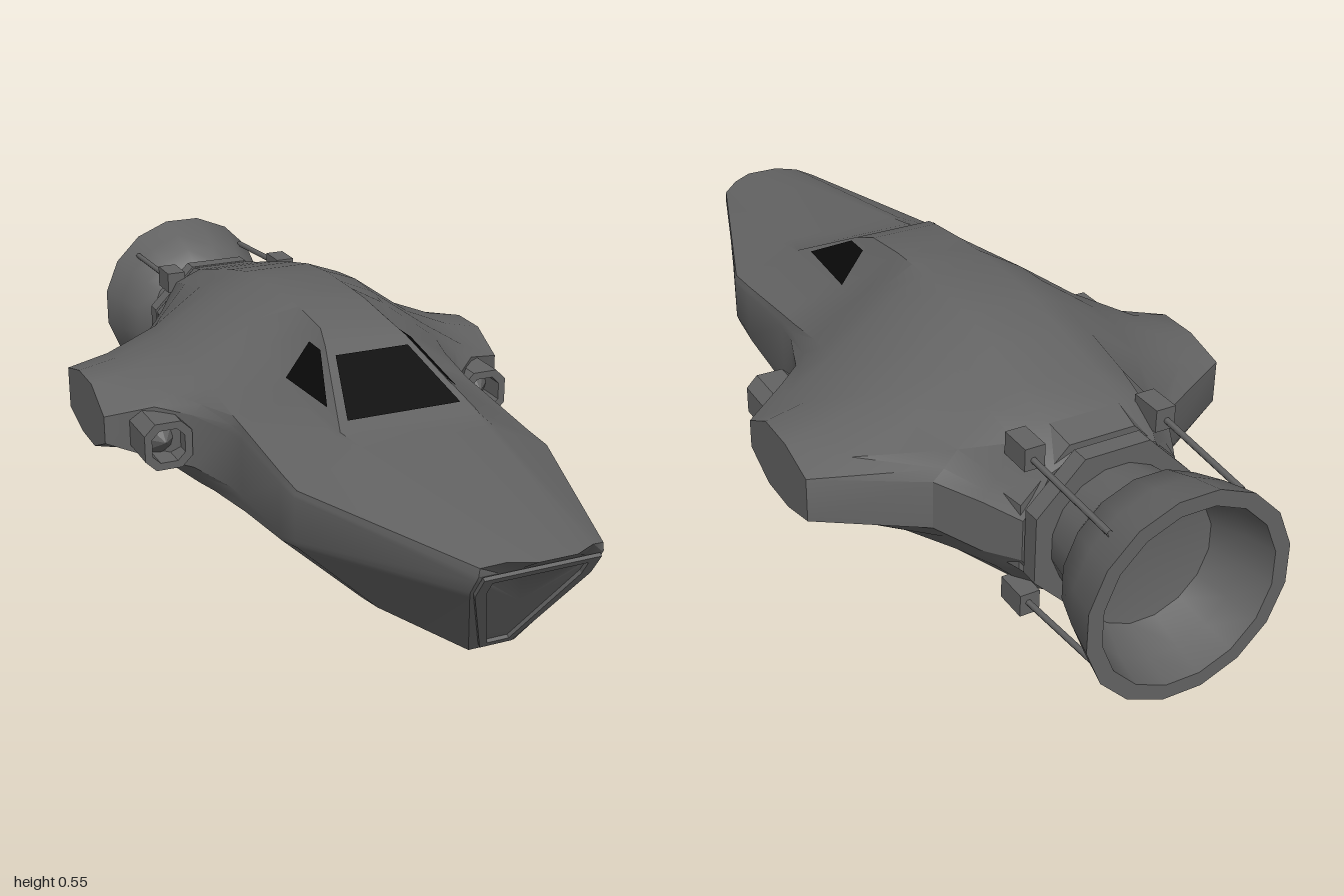
import * as THREE from 'three';
import { toCreasedNormals } from 'three/addons/utils/BufferGeometryUtils.js';

const CY = 0.26; // height of the engine axis

const hullGrey = new THREE.MeshStandardMaterial({ color: 0x636363, side: THREE.DoubleSide });
hullGrey.name = 'hull grey';
const glassBlack = new THREE.MeshStandardMaterial({ color: 0x0a0a0a, side: THREE.DoubleSide });
glassBlack.name = 'glass black';

// Hull stations: z, top edge x y, shoulder x y, flank x upper-y lower-y, wing x upper-y lower-y, keel y
const STATIONS = [
  [0.49, 0.14, 0.40, 0.16, 0.395, 0.285, 0.335, 0.21, 0.29, 0.32, 0.225, 0.035],
  [0.41, 0.155, 0.407, 0.165, 0.40, 0.285, 0.34, 0.19, 0.29, 0.32, 0.21, 0.02],
  [0.2, 0.095, 0.515, 0.165, 0.415, 0.285, 0.36, 0.165, 0.29, 0.33, 0.2, 0.008],
  [0.14, 0.08, 0.535, 0.165, 0.42, 0.285, 0.365, 0.155, 0.295, 0.33, 0.2, 0.003],
  [0.02, 0.08, 0.548, 0.16, 0.47, 0.29, 0.385, 0.14, 0.335, 0.33, 0.205, 0],
  [-0.05, 0.08, 0.55, 0.16, 0.505, 0.3, 0.4, 0.133, 0.4, 0.335, 0.21, 0],
  [-0.11, 0.08, 0.55, 0.16, 0.515, 0.3, 0.415, 0.13, 0.5, 0.305, 0.24, 0],
  [-0.2, 0.08, 0.55, 0.16, 0.52, 0.3, 0.42, 0.13, 0.5, 0.352, 0.2, 0],
  [-0.3, 0.08, 0.54, 0.16, 0.51, 0.3, 0.415, 0.13, 0.5, 0.352, 0.2, 0],
  [-0.4, 0.08, 0.517, 0.16, 0.485, 0.28, 0.4, 0.13, 0.5, 0.325, 0.225, 0.003],
  [-0.52, 0.085, 0.485, 0.16, 0.455, 0.225, 0.38, 0.14, 0.28, 0.32, 0.21, 0.035],
  [-0.62, 0.085, 0.457, 0.15, 0.43, 0.19, 0.36, 0.15, 0.225, 0.315, 0.2, 0.065],
];

// Half ring from top to keel
function halfRing([z, tx, ty, sx, sy, px, pu, pl, wx, wu, wl, yb]) {
  const qx = px + (wx - px) * 0.55, sag = (wx - px) * 0.05;
  return [[tx, ty], [sx, sy], [px, pu], [qx, pu + (wu - pu) * 0.55 - sag], [wx, wu],
    [wx, wl], [qx, pl + (wl - pl) * 0.55 + sag], [px, pl], [0.105, yb]].map(([x, y]) => [x, y, z]);
}

function hullGeometry() {
  const noseSide = [[0.13, 0.33, 0.948], [0.13, 0.315, 0.939], [0.13, 0.3, 0.929],
    [0.13, 0.285, 0.92], [0.125, 0.27, 0.91], [0.05, 0.075, 0.78]];
  const noseFace = [[0.04, 0.33, 0.948], [0.09, 0.33, 0.948], [0.126, 0.33, 0.948], ...noseSide];
  const noseLip = [[0.04, 0.365, 1], [0.09, 0.362, 0.972], [0.128, 0.347, 0.948], ...noseSide];
  const rings = [noseFace, noseLip, ...STATIONS.map(halfRing)];
  // Tail closes in toward the engine collar
  rings.push(rings[rings.length - 1].map(([x, y]) => [x * 0.8, CY + (y - CY) * 0.8, -0.7]));
  const full = rings.map((r) => [...r, ...r.map(([x, y, z]) => [-x, y, z]).reverse()]);
  const n = full[0].length, pos = full.flat(2), idx = [];
  for (let i = 0; i < full.length - 1; i++) {
    for (let j = 0; j < n; j++) {
      const a = i * n + j, b = i * n + (j + 1) % n;
      idx.push(a, b, a + n, b, b + n, a + n);
    }
  }
  // End caps
  const front = pos.length / 3, last = (full.length - 1) * n;
  pos.push(0, 0.22, 0.876, 0, CY, -0.7);
  for (let j = 0; j < n; j++) {
    const k = (j + 1) % n;
    idx.push(front, k, j, front + 1, last + j, last + k);
  }
  const g = new THREE.BufferGeometry();
  g.setAttribute('position', new THREE.Float32BufferAttribute(pos, 3));
  g.setIndex(idx);
  return toCreasedNormals(g, 0.55);
}

// Flat four-cornered pane
function pane(corners) {
  const g = new THREE.BufferGeometry();
  g.setAttribute('position', new THREE.Float32BufferAttribute(corners.flat(), 3));
  g.setIndex([0, 1, 2, 0, 2, 3]);
  return toCreasedNormals(g, 0.1);
}

// Revolved profile of [radius, distance aft] along the engine axis
function turned(profile, sides, crease) {
  const g = new THREE.LatheGeometry(profile.map(([r, d]) => new THREE.Vector2(r, d)), sides, Math.PI / sides);
  g.rotateX(-Math.PI / 2).translate(0, CY, 0);
  return toCreasedNormals(g, crease);
}

function outline(points, Type = THREE.Shape) {
  return new Type(points.map(([x, y]) => new THREE.Vector2(x, y)));
}

function octagon(h, c) {
  return [[h, -c], [h, c], [c, h], [-c, h], [-h, c], [-h, -c], [-c, -h], [c, -h]];
}

export function createModel() {
  const model = new THREE.Group();
  const add = (name, geometry, material = hullGrey) => {
    const mesh = new THREE.Mesh(geometry, material);
    mesh.name = name;
    model.add(mesh);
    return mesh;
  };

  add('hull', hullGeometry());

  // Raised frame on the sloping nose face
  const slope = (list) => list.map(([x, y]) => [x, (y - 0.075) / 0.832]);
  const frame = outline(slope([[-0.035, 0.09], [0.035, 0.09], [0.122, 0.28], [0.122, 0.328], [-0.122, 0.328], [-0.122, 0.28]]));
  frame.holes.push(outline(slope([[-0.024, 0.102], [-0.1, 0.283], [-0.1, 0.315], [0.1, 0.315], [0.1, 0.283], [0.024, 0.102]]), THREE.Path));
  const noseFrame = add('noseFrame', new THREE.ExtrudeGeometry(frame, { depth: 0.008, bevelEnabled: false }));
  noseFrame.position.set(0, 0.075, 0.78);
  noseFrame.rotation.x = 0.588;

  // Cockpit glass
  const windshield = add('windshield', pane([[-0.13, 0.418, 0.389], [0.13, 0.418, 0.389], [0.085, 0.5, 0.229], [-0.085, 0.5, 0.229]]), glassBlack);
  windshield.position.set(0, 0.0036, 0.0019);
  for (const s of [1, -1]) {
    const glass = add('sideWindow', pane([[s * 0.146, 0.43, 0.335], [s * 0.157, 0.43, 0.14], [s * 0.102, 0.505, 0.14], [s * 0.102, 0.505, 0.2]]), glassBlack);
    glass.position.set(s * 0.005, 0.004, 0.001);
  }

  // Wing pods with finned intakes
  for (const s of [1, -1]) {
    const shell = outline(octagon(0.055, 0.03));
    shell.holes.push(outline(octagon(0.038, 0.02).reverse(), THREE.Path));
    add('wingPod', new THREE.ExtrudeGeometry(shell, { depth: 0.2, bevelEnabled: false }))
      .position.set(s * 0.395, 0.27, -0.172);
    const hub = new THREE.ConeGeometry(0.044, 0.05, 8).rotateX(Math.PI / 2).toNonIndexed();
    hub.computeVertexNormals();
    add('intakeHub', hub).position.set(s * 0.395, 0.27, -0.015);
  }

  // Engine collar and bell
  add('engineCollar', turned([[0.2, 0.6], [0.212, 0.62], [0.195, 0.69], [0.165, 0.69], [0.165, 0.705],
    [0.193, 0.705], [0.193, 0.745], [0.13, 0.745]], 8, 0.2));
  add('engineBell', turned([[0.14, 0.72], [0.148, 0.77], [0.155, 0.82], [0.187, 0.85], [0.21, 0.92], [0.229, 1],
    [0.195, 1], [0.18, 0.93], [0.15, 0.86], [0, 0.83]], 16, 0.6));

  // Four clamps, each with a stay rod running aft
  for (const s of [1, -1]) {
    for (const t of [1, -1]) {
      add('rodClamp', new THREE.BoxGeometry(0.045, 0.05, 0.075)).position.set(s * 0.15, CY + t * 0.172, -0.65);
      const from = new THREE.Vector3(s * 0.155, CY + t * 0.172, -0.62);
      const to = new THREE.Vector3(s * 0.147, CY + t * 0.155, -0.94);
      add('stayRod', new THREE.TubeGeometry(new THREE.LineCurve3(from, to), 1, 0.007, 6));
    }
  }
  return model;
}
